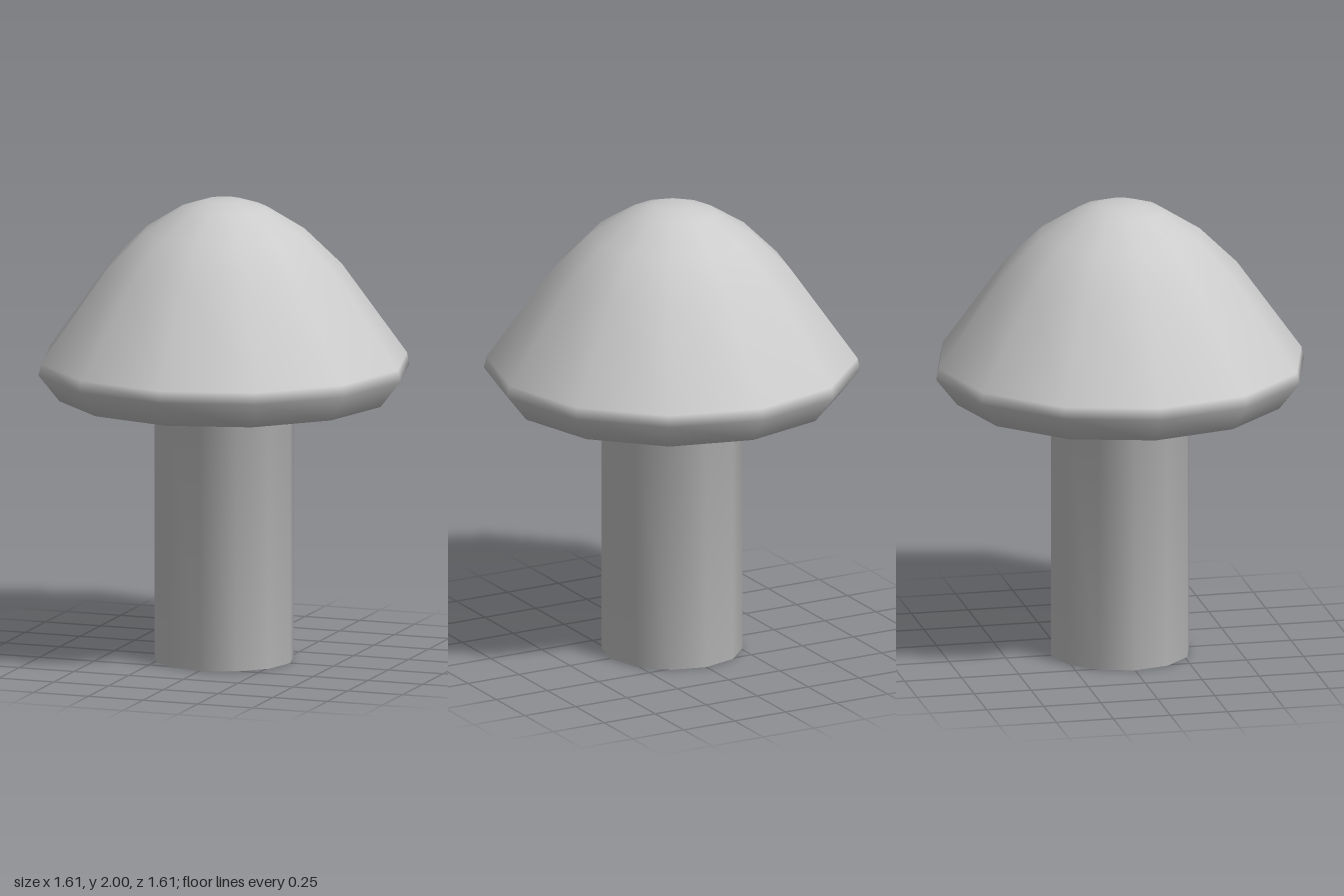
import * as THREE from 'three';

const SIDES = 12;

// Outline from the foot centre up to the crown, as [radius, height]
const PROFILE = [
  [0, 0], [0.303, 0], [0.303, 1.145],                        // stem
  [0.715, 1.145], [0.806, 1.26], [0.795, 1.31], [0.513, 1.705], // underside, rim, slope
  [0.35, 1.865], [0.187, 1.967], [0.083, 2], [0, 2],         // dome
];
const STEM_BANDS = 2; // outline segments that belong to the stem

export function createModel() {
  const group = new THREE.Group();
  group.name = 'mushroom';
  const material = new THREE.MeshStandardMaterial({ color: 0xcccccc });

  // One continuous turned body, so shading flows from the stem into the cap
  const body = new THREE.LatheGeometry(PROFILE.map(([r, y]) => new THREE.Vector2(r, y)), SIDES);
  const faces = Array.from(body.index.array);
  const bands = PROFILE.length - 1;

  // Takes the bands of the body that form one part
  function addPart(name, from, to) {
    const geometry = body.clone();
    geometry.setIndex(faces.filter((_, k) => {
      const band = Math.floor(k / 6) % bands;
      return band >= from && band < to;
    }));
    const mesh = new THREE.Mesh(geometry, material);
    mesh.name = name;
    group.add(mesh);
  }

  addPart('stem', 0, STEM_BANDS);
  addPart('cap', STEM_BANDS, bands);
  return group;
}
